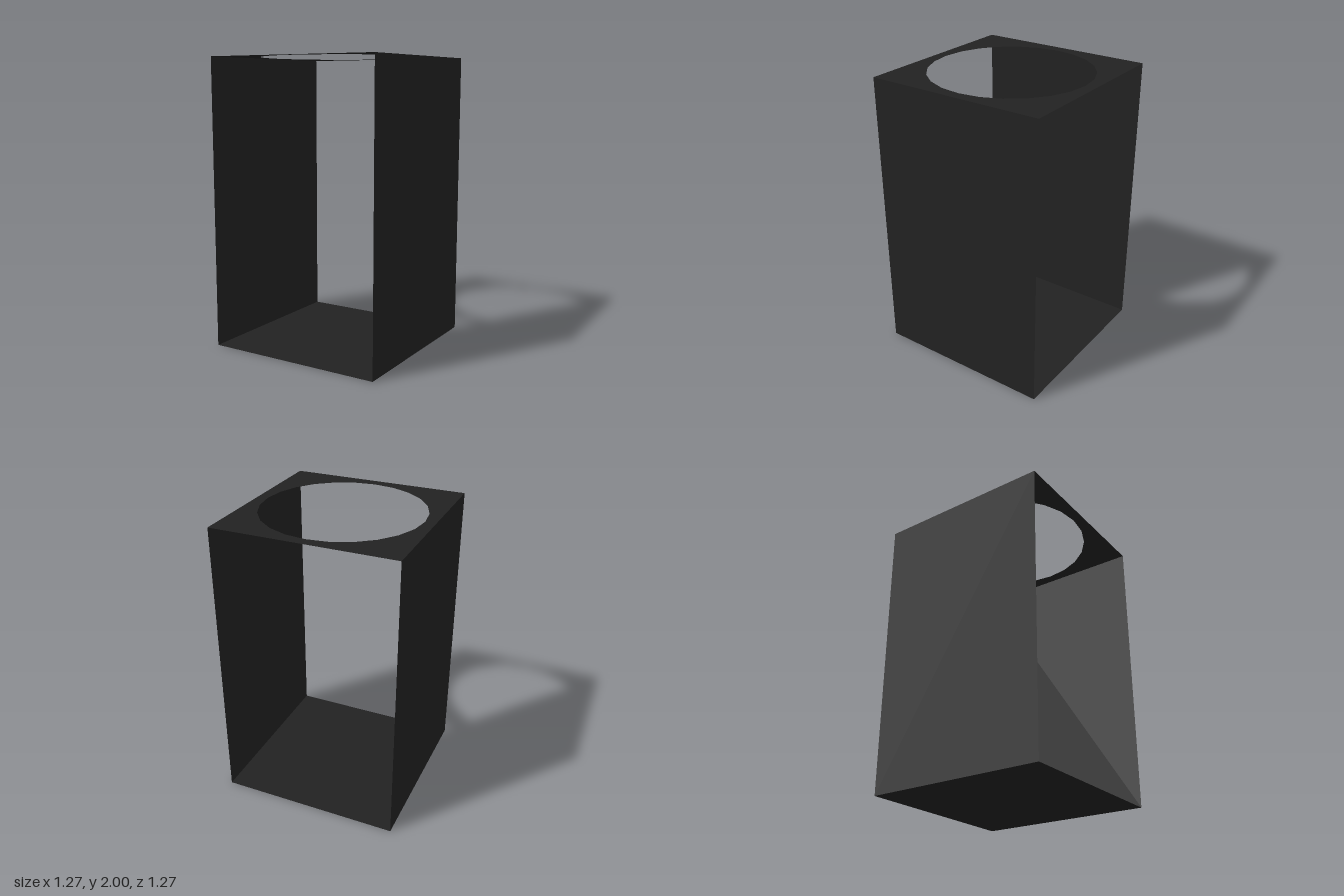
import * as THREE from 'three';

const HALF = 0.626, HEIGHT = 2, HOLE_RADIUS = 0.553, HOLE_SIDES = 24;

export function createModel() {
  const model = new THREE.Group();
  model.name = 'openFrameBox';
  const material = new THREE.MeshStandardMaterial({
    color: 0x222222, flatShading: true, side: THREE.DoubleSide,
  });
  const add = (name, geometry) => {
    const mesh = new THREE.Mesh(geometry, material);
    mesh.name = name;
    model.add(mesh);
    return mesh;
  };

  // Solid floor sheet
  add('floorPanel', new THREE.PlaneGeometry(2 * HALF, 2 * HALF).rotateX(-Math.PI / 2));

  // Side sheets, front and back stay open
  for (const [name, side] of [['leftPanel', 1], ['rightPanel', -1]]) {
    const wall = new THREE.PlaneGeometry(2 * HALF, HEIGHT).rotateY(side * Math.PI / 2);
    add(name, wall).position.set(side * HALF, HEIGHT / 2, 0);
  }

  // Top sheet with a round, faceted opening
  const top = new THREE.Shape([
    new THREE.Vector2(-HALF, -HALF), new THREE.Vector2(HALF, -HALF),
    new THREE.Vector2(HALF, HALF), new THREE.Vector2(-HALF, HALF),
  ]);
  const rim = [];
  for (let i = 0; i < HOLE_SIDES; i++) {
    const a = -i / HOLE_SIDES * Math.PI * 2;
    rim.push(new THREE.Vector2(Math.cos(a) * HOLE_RADIUS, Math.sin(a) * HOLE_RADIUS));
  }
  top.holes.push(new THREE.Path(rim));
  add('topPanel', new THREE.ShapeGeometry(top).rotateX(-Math.PI / 2)).position.y = HEIGHT;

  // The whole box stands turned by about one degree
  model.rotation.y = 0.018;
  return model;
}
